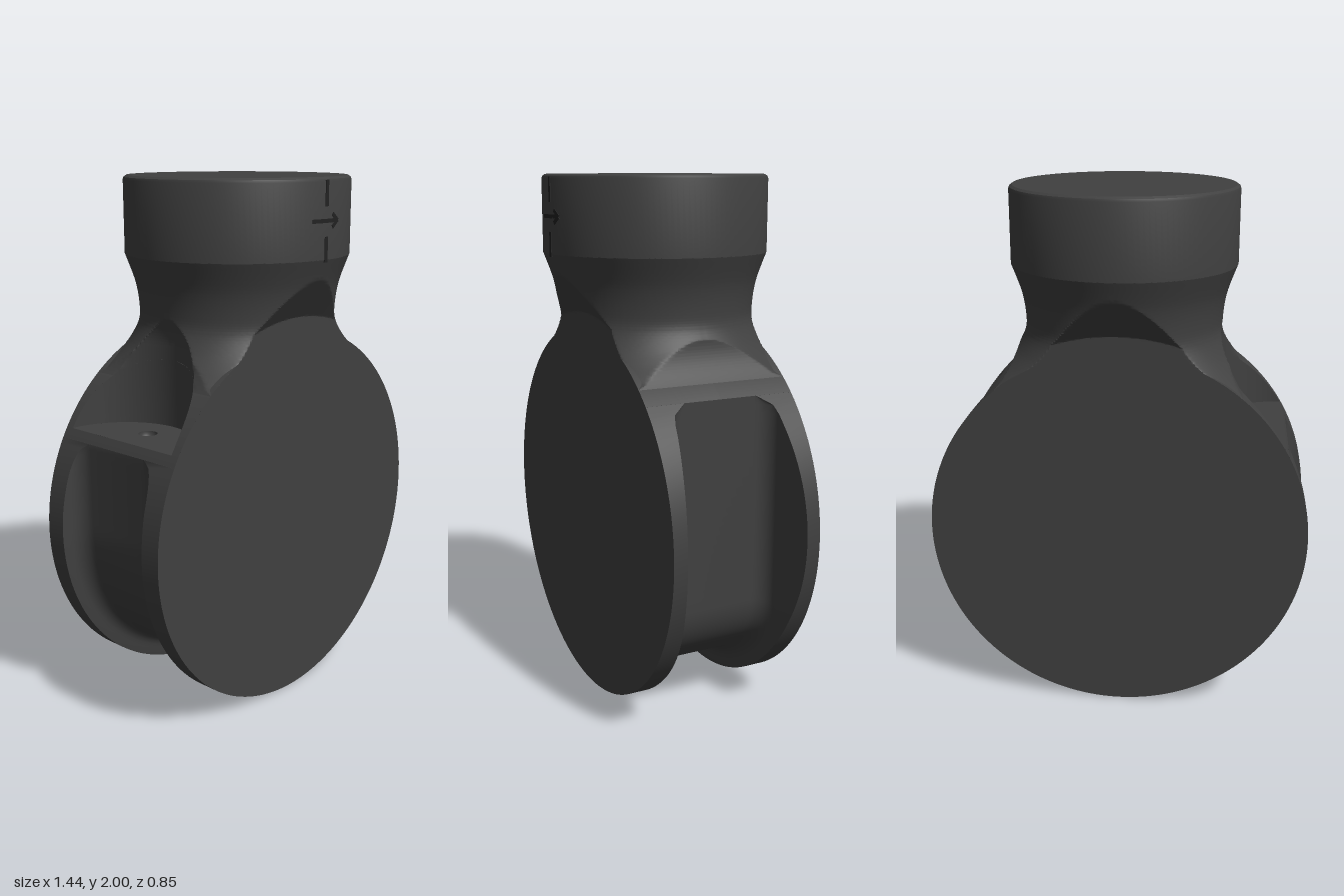
import * as THREE from 'three';
import { toCreasedNormals } from 'three/addons/utils/BufferGeometryUtils.js';

const R = 0.72, CY = 0.72, HALF = 0.295;       // drum radius, centre height, half thickness
const PX = -0.615, PR = 0.262, FLOOR = 1.095;  // side pocket
const rimY = (x) => CY + Math.sqrt(Math.max(0, R * R - x * x));

// Surface grid from a rule (u, v in 0..1) -> [x, y, z]
function grid(nu, nv, rule) {
  const pos = [], idx = [];
  for (let i = 0; i <= nu; i++) for (let j = 0; j <= nv; j++) pos.push(...rule(i / nu, j / nv));
  for (let i = 0; i < nu; i++) for (let j = 0; j < nv; j++) {
    const a = i * (nv + 1) + j, b = a + nv + 1;
    idx.push(a, b, a + 1, b, b + 1, a + 1);
  }
  const g = new THREE.BufferGeometry();
  g.setAttribute('position', new THREE.Float32BufferAttribute(pos, 3));
  g.setIndex(idx);
  return toCreasedNormals(g, 0.5);
}

// Point and outward normal along the groove floor: right wall, rounded corner,
// round bottom, left wall
function groovePath() {
  const path = [], bend = -0.827;
  const arc = (cx, cy, r, from, to, n) => {
    for (let i = 0; i <= n; i++) {
      const a = from + (to - from) * i / n, c = Math.cos(a), s = Math.sin(a);
      path.push([cx + r * c, cy + r * s, c, s]);
    }
  };
  for (let i = 0; i < 24; i++) path.push([0.51, 1.228 + (0.45 - 1.228) * i / 24, 1, 0]);
  arc(0.262, 0.45, 0.248, 0, bend, 16);
  arc(0, 0.735, 0.635, bend - 0.03, -Math.PI, 56);
  for (let i = 1; i <= 16; i++) path.push([-0.635, 0.735 + (1.059 - 0.735) * i / 16, -1, 0]);
  return path;
}

// Half width of the groove at height s above its floor
const grooveWidth = (s) => s < 0.065
  ? 0.14 + 0.07 * Math.sqrt(1 - (1 - s / 0.065) ** 2)
  : 0.21 + 0.22 * (s - 0.065);

export function createModel() {
  const model = new THREE.Group();
  const mat = new THREE.MeshStandardMaterial({ color: 0x404040, side: THREE.DoubleSide });
  const markMat = new THREE.MeshStandardMaterial({ color: 0x222222 });
  const add = (name, geo, material = mat) => {
    const m = new THREE.Mesh(geo, material);
    m.name = name;
    model.add(m);
    return m;
  };

  // Flat round faces of the drum
  for (const s of [1, -1]) {
    const face = add(s > 0 ? 'frontFace' : 'backFace', new THREE.CircleGeometry(R, 160));
    face.position.set(0, CY, s * HALF);
    if (s < 0) face.rotation.y = Math.PI;
  }

  // Flanges and filleted groove, swept around the drum
  const path = groovePath();
  const levels = [1, 0.065, 0.05, 0.035, 0.022, 0.012, 0.005, 0.0015, 0];
  const n = levels.length + 1;
  add('groove', grid(path.length - 1, 2 * n - 1, (u, v) => {
    const [x, y, nx, ny] = path[Math.round(u * (path.length - 1))];
    const b = x * nx + (y - CY) * ny;
    const c = x * x + (y - CY) ** 2 - R * R;
    const depth = Math.max(0, -b + Math.sqrt(Math.max(0, b * b - c)));
    const k = Math.round(v * (2 * n - 1));
    const side = k < n ? 1 : -1, q = k < n ? k : 2 * n - 1 - k;
    const s = q === 0 ? depth : Math.min(depth, levels[q - 1]);
    return [x + nx * s, y + ny * s, side * (q === 0 ? HALF : grooveWidth(s))];
  }));

  // Upper rim, with its inner edge following the pocket
  const a0 = Math.acos(0.51 / R), a1 = Math.acos(PX / R), a2 = Math.acos(-0.635 / R);
  for (const s of [1, -1]) {
    add('upperRim', grid(96, 1, (u, v) => {
      const a = a0 + (a1 - a0) * u, x = R * Math.cos(a);
      const inner = Math.sqrt(Math.max(0, PR * PR - (x - PX) ** 2));
      return [x, CY + R * Math.sin(a), s * (v ? HALF : inner)];
    }));
  }
  add('pocketLip', grid(4, 1, (u, v) => {
    const a = a1 + (a2 - a1) * u;
    return [R * Math.cos(a), CY + R * Math.sin(a), (v * 2 - 1) * HALF];
  }));

  // Pocket wall and half-round floor with a dimple
  add('pocketWall', grid(48, 1, (u, v) => {
    const a = Math.PI * (u - 0.5), x = PX + PR * Math.cos(a);
    return [x, v ? rimY(x) : FLOOR, PR * Math.sin(a)];
  }));
  const floor = new THREE.Shape();
  floor.absarc(0, 0, PR, -Math.PI / 2, Math.PI / 2, false);
  floor.closePath();
  floor.holes.push(new THREE.Path().absarc(0.135, 0, 0.035, 0, Math.PI * 2, true));
  const floorMesh = add('pocketFloor', new THREE.ShapeGeometry(floor, 32));
  floorMesh.rotation.x = -Math.PI / 2;
  floorMesh.position.set(PX, FLOOR, 0);
  const dimple = add('pocketDimple',
    new THREE.SphereGeometry(0.035, 32, 8, 0, Math.PI * 2, Math.PI / 2, Math.PI / 2));
  dimple.position.set(PX + 0.135, FLOOR, 0);

  // Waisted neck flaring into the drum, trimmed by the curved shoulders, the drum
  // faces with their conical relief, and the pocket
  const profile = new THREE.SplineCurve([
    [0.58, 1.0], [0.58, 1.23], [0.505, 1.3], [0.45, 1.35], [0.408, 1.4], [0.378, 1.46],
    [0.374, 1.52], [0.388, 1.61], [0.425, 1.715],
  ].map((q) => new THREE.Vector2(...q)));
  const neck = new THREE.LatheGeometry(profile.getPoints(144), 256);
  const p = neck.attributes.position;
  for (let i = 0; i < p.count; i++) {
    let x = p.getX(i), z = p.getZ(i);
    const y = p.getY(i), t = Math.max(0, y - 1.25);
    const shoulder = 0.48 - 0.95 * t + 2.6 * t * t;
    x = Math.max(-shoulder, Math.min(shoulder, x));
    const limit = HALF + 0.7 * Math.max(0, Math.hypot(x, y - CY) - 0.775);
    z = Math.max(-limit, Math.min(limit, z));
    const pr = PR - 2 * Math.max(0, y - 1.4) ** 2;
    if (x < 0 && Math.abs(z) < pr) x = Math.max(x, PX + Math.sqrt(pr * pr - z * z));
    p.setXYZ(i, x, y, z);
  }
  add('neck', toCreasedNormals(neck, 0.4));

  // Round head with a softened top edge
  const head = [[0.425, 1.714], [0.425, 1.984], [0.422, 1.993], [0.412, 2], [0, 2]];
  add('head', toCreasedNormals(
    new THREE.LatheGeometry(head.map((q) => new THREE.Vector2(...q)), 128), 0.5));

  // Alignment lines and direction arrow on the head
  const mark = (name, w, h, x, y, turn = 0) => {
    const m = add(name, new THREE.BoxGeometry(w, h, 0.006), markMat);
    m.position.set(x, y, Math.sqrt(0.425 ** 2 - x * x) - 0.001);
    m.rotation.set(0, Math.asin(x / 0.425), turn);
  };
  mark('upperLine', 0.016, 0.09, 0, 1.945);
  mark('lowerLine', 0.016, 0.09, 0, 1.75);
  for (const x of [-0.046, 0, 0.046]) mark('arrowShaft', 0.05, 0.014, x, 1.85);
  for (const s of [1, -1]) mark('arrowHead', 0.042, 0.014, 0.052, 1.85 + s * 0.011, -s * 0.6);

  return model;
}
